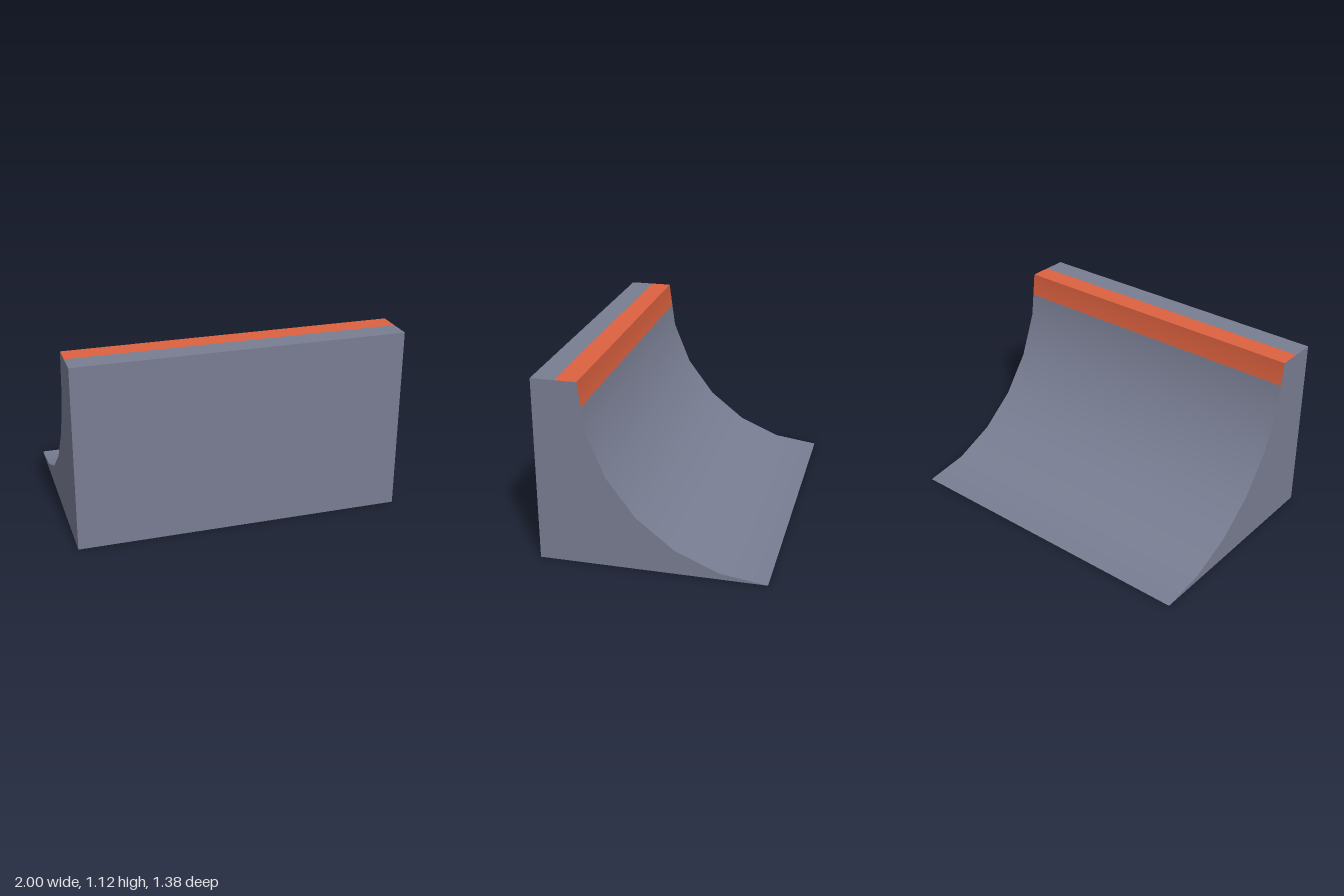
import * as THREE from 'three';

const HALF_W = 0.99, HALF_D = 0.674, H = 1.12, LIP = 0.405, STRIPE = 0.535, STEPS = 6;

// Points are { z, y, n: [ny, nz] }, running up the curve, over the top and down the front
function sheet(name, points, material) {
  const pos = [], nor = [], idx = [];
  points.forEach(({ z, y, n }, i) => {
    pos.push(-HALF_W, y, z, HALF_W, y, z);
    nor.push(0, n[0], n[1], 0, n[0], n[1]);
    if (i > 0) {
      const a = 2 * (i - 1);
      idx.push(a, a + 2, a + 1, a + 1, a + 2, a + 3);
    }
  });
  const g = new THREE.BufferGeometry();
  g.setAttribute('position', new THREE.Float32BufferAttribute(pos, 3));
  g.setAttribute('normal', new THREE.Float32BufferAttribute(nor, 3));
  g.setIndex(idx);
  const mesh = new THREE.Mesh(g, material);
  mesh.name = name;
  return mesh;
}

export function createModel() {
  const grey = new THREE.MeshStandardMaterial({ color: 0x787d92 });
  grey.name = 'slate grey';
  const orange = new THREE.MeshStandardMaterial({ color: 0xdd6240 });
  orange.name = 'orange';

  const model = new THREE.Group();
  model.name = 'quarterPipeRamp';

  // Quarter-round riding profile, from the toe at the back up to the lip
  const curve = [];
  for (let i = 0; i <= STEPS; i++) {
    const t = (i / STEPS) * Math.PI / 2;
    curve.push({
      z: -HALF_D + (LIP + HALF_D) * Math.sin(t),
      y: H * (1 - Math.cos(t)),
      n: [Math.cos(t), -Math.sin(t)],
    });
  }

  // The painted lip begins halfway up the last facet
  const a = curve[STEPS - 1], b = curve[STEPS], tm = Math.PI / 2 * (STEPS - 0.5) / STEPS;
  const split = { z: (a.z + b.z) / 2, y: (a.y + b.y) / 2, n: [Math.cos(tm), -Math.sin(tm)] };
  model.add(sheet('ridingSurface', [...curve.slice(0, STEPS), split], grey));
  model.add(sheet('lipStripeBack', [split, b], orange));

  // Flat long faces
  const flat = (name, z0, y0, z1, y1, n, mat) =>
    model.add(sheet(name, [{ z: z0, y: y0, n }, { z: z1, y: y1, n }], mat));
  flat('lipStripeTop', LIP, H, STRIPE, H, [1, 0], orange);
  flat('deck', STRIPE, H, HALF_D, H, [1, 0], grey);
  flat('frontWall', HALF_D, H, HALF_D, 0, [0, 1], grey);
  flat('base', HALF_D, 0, -HALF_D, 0, [-1, 0], grey);

  // End walls
  for (const side of [1, -1]) {
    const outline = [...curve, { z: HALF_D, y: H }, { z: HALF_D, y: 0 }];
    const shape = new THREE.Shape(outline.map(p => new THREE.Vector2(-side * p.z, p.y)));
    const end = new THREE.Mesh(new THREE.ShapeGeometry(shape), grey);
    end.name = side > 0 ? 'leftEnd' : 'rightEnd';
    end.rotation.y = side * Math.PI / 2;
    end.position.x = side * HALF_W;
    model.add(end);
  }

  // The ramp stands slightly turned
  model.rotation.y = -0.015;
  return model;
}
